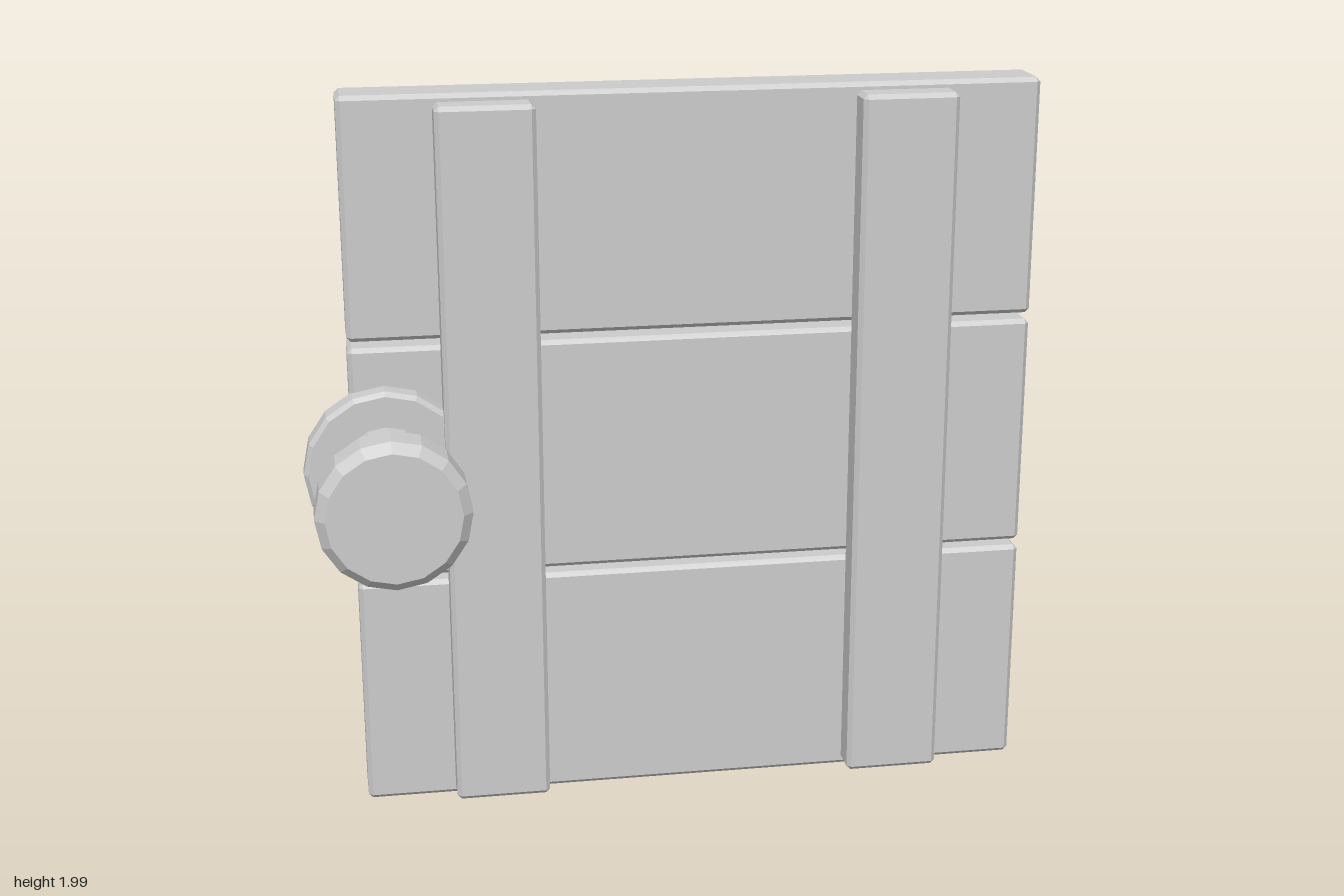
import * as THREE from 'three';
import { ConvexGeometry } from 'three/addons/geometries/ConvexGeometry.js';

const material = new THREE.MeshStandardMaterial({ color: 0xcccccc, flatShading: true });

// Box between two corners with every edge chamfered by c
function chamferedBox(name, min, max, c = 0.012) {
  const half = min.map((v, i) => (max[i] - v) / 2);
  const points = [];
  for (const sx of [-1, 1]) for (const sy of [-1, 1]) for (const sz of [-1, 1]) {
    for (let axis = 0; axis < 3; axis++) {
      const p = [sx, sy, sz].map((s, i) => s * (half[i] - (i === axis ? 0 : c)));
      points.push(new THREE.Vector3(...p));
    }
  }
  const mesh = new THREE.Mesh(new ConvexGeometry(points), material);
  mesh.position.set(...min.map((v, i) => (v + max[i]) / 2));
  mesh.name = name;
  return mesh;
}

// Chamfered disc along z, from z0 to z1
function disc(name, radius, z0, z1, c) {
  const profile = [
    [0, z0], [radius - c, z0], [radius, z0 + c],
    [radius, z1 - c], [radius - c, z1], [0, z1],
  ].map(([r, z]) => new THREE.Vector2(r, z));
  const geometry = new THREE.LatheGeometry(profile, 16);
  geometry.rotateX(Math.PI / 2);
  const mesh = new THREE.Mesh(geometry, material);
  mesh.name = name;
  return mesh;
}

export function createModel() {
  const group = new THREE.Group();
  group.name = 'plankDoor';

  // Three horizontal planks with narrow gaps
  for (let i = 0; i < 3; i++) {
    const y = i * 0.668;
    group.add(chamferedBox('plank', [-0.87, y, -0.292], [1, y + 0.65, -0.143]));
  }

  // Two upright battens on the front
  for (const x of [-0.625, 0.492]) {
    group.add(chamferedBox('batten', [x, 0.022, -0.145], [x + 0.26, 1.967, -0.05]));
  }

  // Handle: back plate, stem and round grip
  const handle = new THREE.Group();
  handle.name = 'handle';
  handle.position.set(-0.778, 0.993, 0);
  handle.add(
    disc('handlePlate', 0.222, -0.167, -0.08, 0.012),
    disc('handleStem', 0.126, -0.09, 0.137, 0.006),
    disc('handleGrip', 0.2, 0.152, 0.292, 0.026),
  );
  group.add(handle);

  return group;
}
